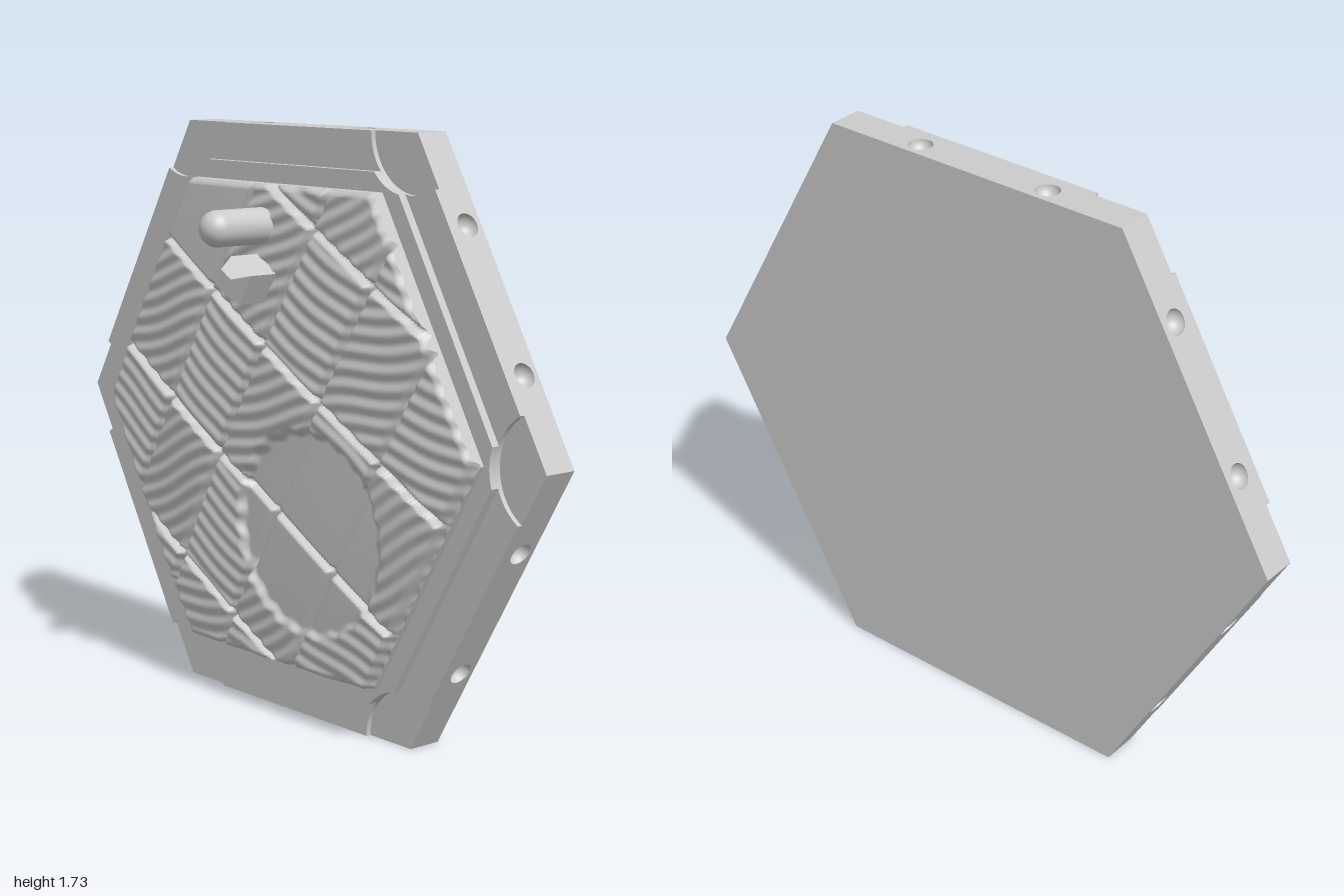
import * as THREE from 'three';

const APO = Math.sqrt(3) / 2;          // apothem of a unit hexagon
const BACK = -0.21, BODY = -0.105, BEAM = -0.09, STEP = -0.065;
const CORNER = 0.17;                   // radius of the corner pads
const TILE_R = 0.81;                   // circumradius of the paved field

const grey = new THREE.MeshStandardMaterial({ color: 0xcccccc });
const inner = new THREE.MeshStandardMaterial({ color: 0xcccccc, side: THREE.BackSide });

function add(parent, name, geometry, material = grey) {
  const mesh = new THREE.Mesh(geometry, material);
  mesh.name = name;
  parent.add(mesh);
  return mesh;
}

// Hexagon of circumradius R whose corners are bitten off by the round corner pads
function bittenHexagon(R) {
  const shape = new THREE.Shape();
  const lean = Math.asin((1 - R) * APO / CORNER);
  for (let i = 0; i < 6; i++) {
    const a = i * Math.PI / 3;
    shape.absarc(Math.cos(a), Math.sin(a), CORNER,
      a + Math.PI * 4 / 3 - lean, a + Math.PI * 2 / 3 + lean, true);
  }
  return shape;
}

function layer(R, z0, z1) {
  return new THREE.ExtrudeGeometry(bittenHexagon(R), { depth: z1 - z0, bevelEnabled: false, curveSegments: 20 })
    .translate(0, 0, z0);
}

// Outer wall of one side, with two round sockets
function makeSide() {
  const side = new THREE.Group();
  side.name = 'sideWall';
  const wall = new THREE.Shape([[-0.5, BACK], [0.5, BACK], [0.5, BODY], [-0.5, BODY]]
    .map(p => new THREE.Vector2(...p)));
  for (const x of [-0.22, 0.22]) {
    wall.holes.push(new THREE.Path().absarc(x, -0.16, 0.035, 0, Math.PI * 2, true));
    const socket = add(side, 'socket',
      new THREE.SphereGeometry(0.035, 24, 8, 0, Math.PI * 2, 0, Math.PI / 2), inner);
    socket.position.set(x, -APO, -0.16);
  }
  add(side, 'wallFace', new THREE.ShapeGeometry(wall, 12).rotateX(Math.PI / 2).translate(0, -APO, 0));
  return side;
}

const smooth = (a, b, x) => THREE.MathUtils.smoothstep(x, a, b);

// Height of the paving: shallow dome, joints, wood-like ripples and a worn round hollow
function tileHeight(x, y) {
  const u = x * 0.5 + y * APO, v = x * APO - y * 0.5;   // along and across the tile columns
  const col = (v + 0.424) / 0.28, row = (u + 0.2) / 0.4;
  const ci = Math.floor(col), ri = Math.floor(row);
  const dv = Math.abs(col - Math.round(col)) * 0.28;
  const du = Math.abs(row - Math.round(row)) * 0.4;
  const joint = 1 - smooth(0.003, 0.014, Math.min(du, dv));
  const rim = TILE_R * APO - Math.max(Math.abs(y), Math.abs(x * APO + y * 0.5), Math.abs(v));

  const h = Math.abs(Math.sin(ci * 12.9 + ri * 78.2) * 43.7) % 1;
  const angle = (ci + ri) % 2 === 0 ? -0.6 + h * 0.5 : 0.1 + h * 0.5;
  const s = -x * Math.sin(angle) + y * Math.cos(angle);
  const t = x * Math.cos(angle) + y * Math.sin(angle);
  let ripple = 0.0035 * Math.sin(s * 125 + 1.2 * Math.sin(t * 14 + h * 6)) + 0.004 * (h - 0.5);
  if (ci === -1 && ri === 1) ripple = 0;               // plain tile that carries the pegs

  const px = x - 0.17, py = y + 0.286;
  const a = Math.atan2(py, px);
  const r = Math.hypot(px, py) + 0.005 * Math.sin(a * 23);
  const hollow = 1 - smooth(0.285, 0.31, r);
  const depth = 0.014 + 0.012 * smooth(-0.3, 0.3, py - px * 0.5);

  return 0.017 - 0.055 * (x * x + y * y) + ripple * (1 - hollow)
    - hollow * depth - 0.026 * joint - 0.012 * (1 - smooth(0, 0.012, rim));
}

// Paved field: six triangular sectors of a fine hexagonal grid
function pavingGeometry(n) {
  const pos = [], idx = [], start = [0];
  pos.push(0, 0, tileHeight(0, 0));
  for (let k = 1; k <= n; k++) {
    start.push(pos.length / 3);
    for (let s = 0; s < 6; s++) for (let j = 0; j < k; j++) {
      const a = s * Math.PI / 3, b = a + Math.PI / 3, f = TILE_R / n;
      const x = f * ((k - j) * Math.cos(a) + j * Math.cos(b));
      const y = f * ((k - j) * Math.sin(a) + j * Math.sin(b));
      pos.push(x, y, tileHeight(x, y));
    }
  }
  const at = (k, s, j) => k === 0 ? 0 : start[k] + (s * k + j) % (6 * k);
  for (let k = 1; k <= n; k++) for (let s = 0; s < 6; s++) for (let j = 0; j < k; j++) {
    idx.push(at(k, s, j), at(k, s, j + 1), at(k - 1, s, j));
    if (j < k - 1) idx.push(at(k - 1, s, j), at(k, s, j + 1), at(k - 1, s, j + 1));
  }
  const geo = new THREE.BufferGeometry();
  geo.setAttribute('position', new THREE.Float32BufferAttribute(pos, 3));
  geo.setIndex(idx);
  geo.computeVertexNormals();
  return geo;
}

// Upright edge of the paving, following its outline down to the frame
function pavingEdgeGeometry(n) {
  const pos = [], idx = [];
  for (let s = 0; s < 6; s++) for (let j = 0; j <= n; j++) {
    const a = s * Math.PI / 3, b = a + Math.PI / 3, f = j / n;
    const x = TILE_R * ((1 - f) * Math.cos(a) + f * Math.cos(b));
    const y = TILE_R * ((1 - f) * Math.sin(a) + f * Math.sin(b));
    const i = pos.length / 3;
    pos.push(x, y, BODY, x, y, tileHeight(x, y));
    if (j < n) idx.push(i, i + 2, i + 1, i + 1, i + 2, i + 3);
  }
  const geo = new THREE.BufferGeometry();
  geo.setAttribute('position', new THREE.Float32BufferAttribute(pos, 3));
  geo.setIndex(idx);
  geo.computeVertexNormals();
  return geo;
}

export function createModel() {
  const model = new THREE.Group();
  model.name = 'hexagonalFloorTile';
  const plate = new THREE.Group();
  plate.name = 'plate';
  plate.position.y = APO;
  model.add(plate);

  // Base body
  add(plate, 'backFace', new THREE.CircleGeometry(1, 6).rotateX(Math.PI).translate(0, 0, BACK));
  add(plate, 'cornerPads', new THREE.CircleGeometry(1, 6).translate(0, 0, BODY));
  for (let i = 0; i < 6; i++) {
    const side = makeSide();
    side.rotation.z = i * Math.PI / 3;
    plate.add(side);
  }

  // Stepped frame
  add(plate, 'edgeBeams', layer(1, BODY, BEAM));
  add(plate, 'innerStep', layer(0.873, BEAM, STEP));

  // Paving
  add(plate, 'paving', pavingGeometry(110));
  add(plate, 'pavingEdge', pavingEdgeGeometry(110));

  // Round peg
  const round = add(plate, 'roundPeg', new THREE.CapsuleGeometry(0.053, 0.17, 12, 28).rotateX(Math.PI / 2));
  round.position.set(-0.04, 1.45 - APO, 0.072);

  // Square peg with a tapered tip
  const square = new THREE.Group();
  square.name = 'squarePeg';
  square.position.set(-0.03, 1.3 - APO, 0);
  square.rotation.z = -Math.PI / 6;
  plate.add(square);
  add(square, 'shaft', new THREE.BoxGeometry(0.1, 0.1, 0.13).translate(0, 0, 0.035));
  const tip = new THREE.CylinderGeometry(0.036, 0.0707, 0.045, 4, 1).toNonIndexed();
  tip.computeVertexNormals();
  add(square, 'tip', tip.rotateY(Math.PI / 4).rotateX(Math.PI / 2).translate(0, 0, 0.1225));

  return model;
}
